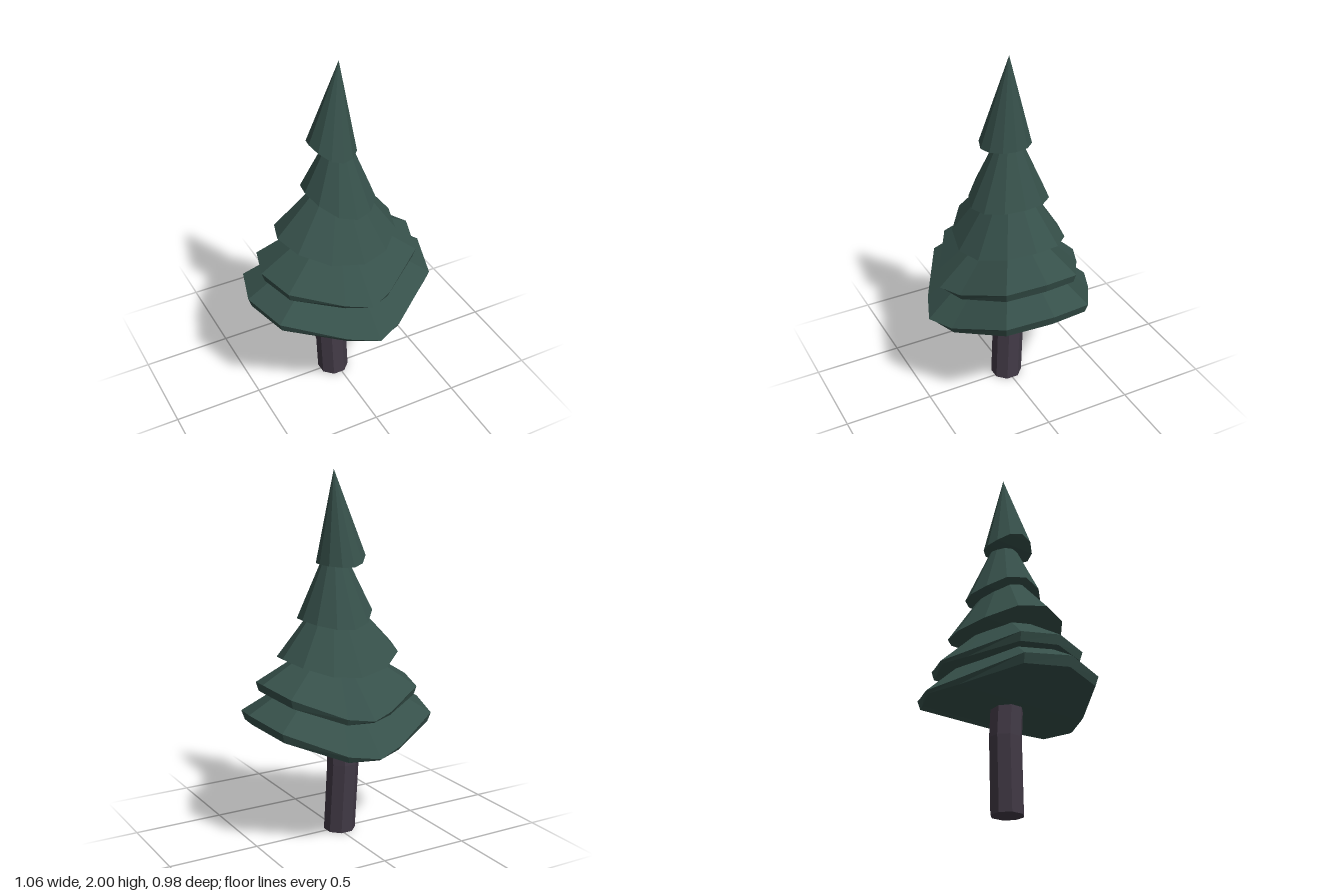
import * as THREE from 'three';

const leaf = new THREE.MeshStandardMaterial({ color: 0x36504a, flatShading: true });
const bark = new THREE.MeshStandardMaterial({ color: 0x423a46, flatShading: true });

// apexY: tip height. midX: x of the rim's centre line. left/right: rim ends in x.
// depth: rim radius in z. yMid/yLeft/yRight: rim heights. shoulder: x share of the
// rim points next to the centre line. lip: thickness of the rim's edge.
// bendLeft/bendRight: powers of the curve by which the rim rises to its ends.
const wide = { shoulder: 0.3, bendLeft: 1.4, bendRight: 2 };
const round = { shoulder: 0.48, bendLeft: 2, bendRight: 2.5, lip: 0 };
const tiers = [
  { ...wide, apexY: 1.02, midX: 0.02, left: -0.53, right: 0.53, depth: 0.49, yMid: 0.563, yLeft: 0.7, yRight: 0.745, lip: 0.055 },
  { ...wide, apexY: 1.135, midX: 0.01, left: -0.445, right: 0.448, depth: 0.414, yMid: 0.742, yLeft: 0.845, yRight: 0.897, lip: 0.052 },
  { ...round, apexY: 1.42, midX: 0.02, left: -0.345, right: 0.33, depth: 0.3, yMid: 0.95, yLeft: 1.045, yRight: 1.022 },
  { ...round, apexY: 1.68, midX: 0.015, left: -0.18, right: 0.21, depth: 0.222, yMid: 1.188, yLeft: 1.283, yRight: 1.217 },
  { ...round, apexY: 2, midX: -0.025, left: -0.152, right: 0.105, depth: 0.143, yMid: 1.5, yLeft: 1.566, yRight: 1.507 },
];
const SIDES = 12;

// Upper and lower rim corner i of a tier, counted from +x towards +z
function rimCorner(t, i) {
  const angle = (i / SIDES) * Math.PI * 2;
  const c = Math.cos(angle);
  const u = Math.abs(c) < 0.01 ? 0 : Math.abs(c) < 0.6 ? t.shoulder : Math.abs(c);
  const isRight = c > 0;
  const x = t.midX + u * ((isRight ? t.right : t.left) - t.midX);
  const z = t.depth * Math.sin(angle);
  const rise = (isRight ? t.yRight : t.yLeft) - t.yMid;
  const y = t.yMid + rise * u ** (isRight ? t.bendRight : t.bendLeft);
  const drop = t.lip * (0.2 + 0.8 * u ** (isRight ? 0.5 : 1));
  const inset = t.lip > 0 ? 0.965 : 1;
  return {
    upper: new THREE.Vector3(x, y, z),
    lower: new THREE.Vector3(x * inset, y - drop, z * inset),
  };
}

// A drooping cone of branches with an optional lip and a closed underside
function makeTier(t, index) {
  const ring = Array.from({ length: SIDES }, (_, i) => rimCorner(t, i));
  const apex = new THREE.Vector3(0.018, t.apexY, 0);
  const tris = [];
  ring.forEach((a, i) => {
    const b = ring[(i + 1) % SIDES];
    tris.push(apex, b.upper, a.upper);
    if (t.lip > 0) tris.push(a.upper, b.upper, b.lower, a.upper, b.lower, a.lower);
  });
  // Underside in strips running front to back
  for (let i = 0; i < SIDES / 2; i++) {
    const [a, b, c, d] = [i, i + 1, SIDES - 1 - i, (SIDES - i) % SIDES].map((k) => ring[k].lower);
    if (i < SIDES / 2 - 1) tris.push(a, b, c);
    else tris.push(a, b, d);
    if (i > 0 && i < SIDES / 2 - 1) tris.push(a, c, d);
  }
  const geometry = new THREE.BufferGeometry().setFromPoints(tris);
  geometry.computeVertexNormals();
  const mesh = new THREE.Mesh(geometry, leaf);
  mesh.name = `branchTier${index + 1}`;
  return mesh;
}

// Eight-sided trunk with a slight bend
function makeTrunk() {
  const sides = 8;
  const levels = [[-0.017, 0, 0], [-0.028, 0.4, -0.02], [-0.022, 0.7, 0]]; // centre x, y, z
  const geometry = new THREE.CylinderGeometry(0.088, 0.088, 2, sides, 2);
  geometry.rotateY(Math.PI / sides);
  const p = geometry.attributes.position;
  for (let i = 0; i < p.count; i++) {
    const [x, y, z] = levels[Math.round(p.getY(i) + 1)];
    p.setXYZ(i, p.getX(i) + x, y, p.getZ(i) + z);
  }
  geometry.computeVertexNormals();
  const trunk = new THREE.Mesh(geometry, bark);
  trunk.name = 'trunk';
  return trunk;
}

export function createModel() {
  const tree = new THREE.Group();
  tree.name = 'pineTree';
  tree.add(makeTrunk(), ...tiers.map(makeTier));
  return tree;
}
